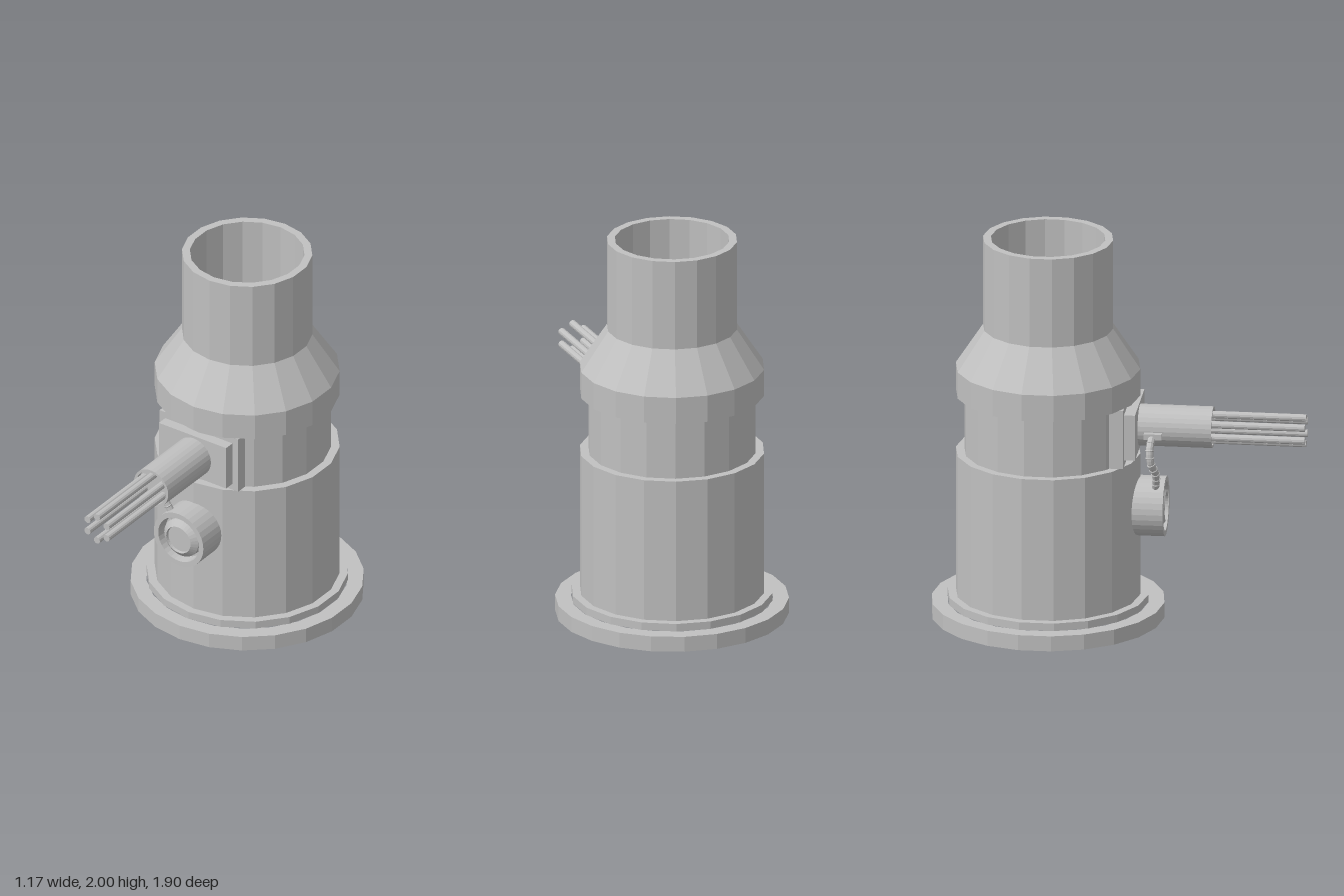
import * as THREE from 'three';

export function createModel() {
  const model = new THREE.Group();
  const steel = new THREE.MeshStandardMaterial({ color: 0xc0c0c0, flatShading: true, side: THREE.DoubleSide });
  steel.name = 'grey steel';

  const add = (name, geometry, x = 0, y = 0, z = 0) => {
    const mesh = new THREE.Mesh(geometry, steel);
    mesh.name = name;
    mesh.position.set(x, y, z);
    model.add(mesh);
    return mesh;
  };
  // Turned part from [radius, height] pairs
  const lathe = (points, sides) =>
    new THREE.LatheGeometry(points.map(([r, h]) => new THREE.Vector2(r, h)), sides);
  // Turned part whose axis points forward
  const latheZ = (name, points, sides, x, y) => add(name, lathe(points, sides).rotateX(Math.PI / 2), x, y);
  const axisZ = -0.36;

  // Hollow stepped base, open underneath
  add('baseFlange', lathe([[0.59, 0], [0.59, 0.08], [0.51, 0.08]], 22), 0, 0, axisZ);
  add('baseStep', lathe([[0.51, 0.08], [0.51, 0.12], [0.468, 0.12]], 18), 0, 0, axisZ);

  // Main shell: lower drum, recessed neck, collar and shoulder
  add('lowerDrum', lathe([[0.468, 0.12], [0.468, 0.87], [0.425, 0.87]], 18), 0, 0, axisZ);
  add('neckBand', lathe([[0.425, 0.87], [0.425, 1.18]], 18), 0, 0, axisZ);
  add('collar', lathe([[0.425, 1.18], [0.468, 1.18], [0.468, 1.32], [0.33, 1.53]], 18), 0, 0, axisZ);

  // Chimney with a thick rim and a closed floor
  add('chimney', lathe([[0.33, 1.53], [0.33, 2], [0.29, 2], [0.29, 1.53], [0, 1.53]], 18), 0, 0, axisZ);

  // Mounting plate and raised block behind the barrel
  add('mountingPlate', new THREE.BoxGeometry(0.485, 0.31, 0.11), -0.008, 1.025, -0.005);
  add('mountingBlock', new THREE.BoxGeometry(0.415, 0.24, 0.065), -0.008, 1.025, 0.073);

  // Barrel with a recessed end and six rods
  const barrelY = 1.025;
  latheZ('barrel', [[0.106, 0.1], [0.106, 0.478], [0.092, 0.478], [0.092, 0.45], [0, 0.45]], 28, 0, barrelY);
  for (let i = 0; i < 6; i++) {
    const a = Math.PI / 2 + (i * Math.PI) / 3;
    const rod = new THREE.CylinderGeometry(0.019, 0.019, 0.505, 12).rotateX(Math.PI / 2);
    add('rod', rod, 0.068 * Math.cos(a), barrelY + 0.068 * Math.sin(a), 0.6975);
  }

  // Round dial: cup wall with a groove and a raised centre knob
  latheZ('dial', [
    [0.153, 0.05], [0.153, 0.238], [0.125, 0.238], [0.12, 0.18], [0.108, 0.18],
    [0.105, 0.215], [0.075, 0.24], [0.072, 0.225], [0, 0.225],
  ], 32, 0, 0.595);

  // Ribbed hose from the barrel to the dial
  add('hoseConnector', new THREE.BoxGeometry(0.04, 0.03, 0.09), -0.115, 1.005, 0.185);
  const path = new THREE.CatmullRomCurve3([
    [-0.12, 1.0, 0.18], [-0.165, 0.95, 0.175], [-0.17, 0.88, 0.18],
    [-0.13, 0.81, 0.2], [-0.085, 0.73, 0.195], [-0.06, 0.68, 0.19],
  ].map((p) => new THREE.Vector3(...p)));
  add('hose', new THREE.TubeGeometry(path, 24, 0.019, 10));
  for (let i = 1; i < 10; i++) {
    const rib = add('hoseRib', new THREE.TorusGeometry(0.019, 0.004, 5, 12));
    rib.position.copy(path.getPointAt(i / 10));
    rib.quaternion.setFromUnitVectors(new THREE.Vector3(0, 0, 1), path.getTangentAt(i / 10));
  }

  return model;
}
